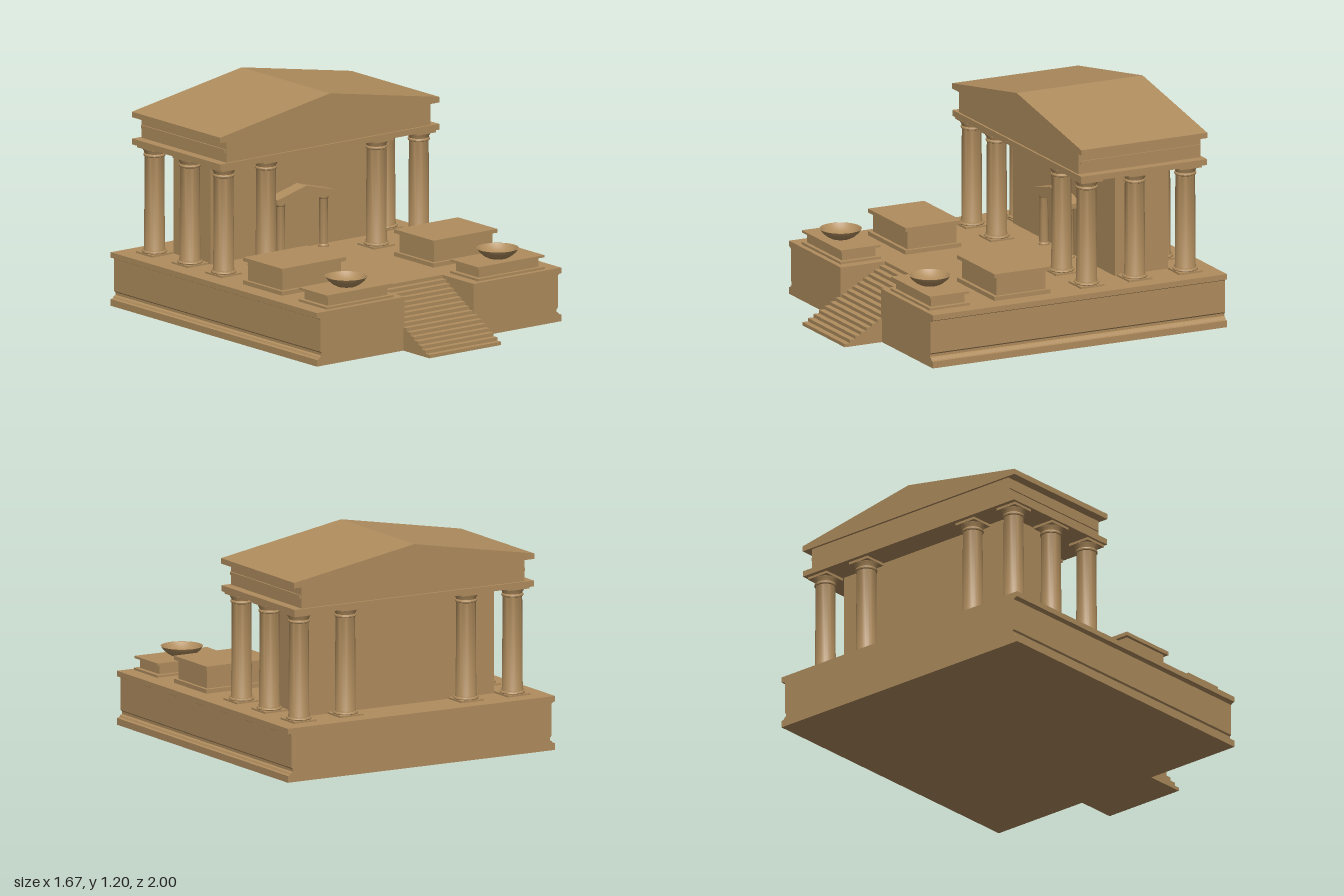
import * as THREE from 'three';
import { toCreasedNormals } from 'three/addons/utils/BufferGeometryUtils.js';

export function createModel() {
  const model = new THREE.Group();
  model.name = 'temple';
  const stone = new THREE.MeshStandardMaterial({ color: 0xb08d5e });

  const add = (name, geometry, parent = model) => {
    const mesh = new THREE.Mesh(geometry, stone);
    mesh.name = name;
    parent.add(mesh);
    return mesh;
  };

  // Box given by its limits on each axis
  const box = (name, x0, x1, y0, y1, z0, z1, parent) =>
    add(name, new THREE.BoxGeometry(x1 - x0, y1 - y0, z1 - z0)
      .translate((x0 + x1) / 2, (y0 + y1) / 2, (z0 + z1) / 2), parent);

  // Outline in x and y, extruded from z0 to z1
  const prism = (points, z0, z1) => {
    const shape = new THREE.Shape(points.map(([x, y]) => new THREE.Vector2(x, y)));
    return new THREE.ExtrudeGeometry(shape, { depth: z1 - z0, bevelEnabled: false })
      .translate(0, 0, z0);
  };

  const lathe = (points, segments) => toCreasedNormals(new THREE.LatheGeometry(
    points.map(([r, y]) => new THREE.Vector2(r, y)), segments), 0.6);

  const mirror = points => points.map(([x, y]) => [-x, y]);

  // Podium with moulded flanks and a notch for the stairs
  const deck = 0.295, notchZ = 0.475, frontZ = 0.775;
  const flank = [
    [0.835, 0], [0.835, 0.037], [0.82, 0.04], [0.814, 0.05], [0.803, 0.056],
    [0.803, 0.07], [0.811, 0.078], [0.811, 0.255], [0.822, 0.263], [0.835, 0.265], [0.835, deck],
  ];
  add('podium', prism([...flank, ...mirror(flank).reverse()], -1, notchZ));
  const wing = [[0.235, 0], ...flank, [0.235, deck]];
  add('leftPodiumWing', prism(wing, notchZ, frontZ));
  add('rightPodiumWing', prism(mirror(wing), notchZ, frontZ));

  // Stairs, drawn from the side and extruded across
  const steps = 16, rise = deck / steps, tread = (1 - notchZ) / steps;
  const profile = [[notchZ, 0], [1, 0]];
  for (let i = 0; i < steps; i++) {
    const z = 1 - i * tread;
    profile.push([z, (i + 1) * rise], [z - tread, (i + 1) * rise]);
  }
  add('stairs', prism(profile, -0.245, 0.245).rotateY(-Math.PI / 2));

  // Columns around the hall
  const shaft = lathe([
    [0, 0.303], [0.066, 0.303], [0.069, 0.309], [0.066, 0.316], [0.059, 0.318],
    [0.059, 0.324], [0.056, 0.33], [0.053, 0.832], [0.058, 0.835], [0.06, 0.841],
    [0.058, 0.847], [0.054, 0.85], [0.056, 0.858], [0.062, 0.868], [0.065, 0.878], [0, 0.878],
  ], 28);
  const addColumn = (x, z) => {
    const column = new THREE.Group();
    column.name = 'column';
    add('columnShaft', shaft, column);
    box('columnPlinth', -0.071, 0.071, deck, 0.305, -0.071, 0.071, column);
    box('columnAbacus', -0.066, 0.066, 0.876, 0.892, -0.066, 0.066, column);
    column.position.set(x, 0, z);
    model.add(column);
  };
  for (const side of [-1, 1]) {
    for (const z of [-0.24, -0.835]) {
      addColumn(side * 0.667, z);
      addColumn(side * 0.377, z);
    }
    addColumn(side * 0.667, -0.53);
  }

  // Inner hall
  box('innerHall', -0.59, 0.59, deck, 0.892, -0.77, -0.45);

  // Entablature and gabled roof
  box('architrave', -0.748, 0.748, 0.89, 0.922, -0.925, -0.165);
  box('frieze', -0.696, 0.696, 0.92, 1.042, -0.912, -0.177);
  box('friezeBand', -0.704, 0.704, 0.976, 0.994, -0.905, -0.184);
  add('roof', prism([[-0.75, 1.04], [0.75, 1.04], [0.75, 1.07], [0, 1.202], [-0.75, 1.07]], -0.925, -0.165));

  // Small porch in front of the hall
  const porch = new THREE.Group();
  porch.name = 'doorPorch';
  model.add(porch);
  const post = lathe([
    [0, deck], [0.03, deck], [0.03, 0.304], [0.025, 0.31], [0.023, 0.558],
    [0.028, 0.566], [0.028, 0.578], [0, 0.578],
  ], 20);
  for (const side of [-1, 1]) add('porchColumn', post, porch).position.set(side * 0.147, 0, -0.405);
  add('porchRoof', prism([[-0.197, 0.577], [0.197, 0.577], [0.197, 0.604], [0, 0.655], [-0.197, 0.604]], -0.45, -0.367), porch);

  // Altars and bowl pedestals on both sides of the stairs
  const bowl = lathe([
    [0, 0.37], [0.05, 0.37], [0.075, 0.383], [0.1, 0.404], [0.114, 0.425],
    [0.108, 0.425], [0.092, 0.406], [0.068, 0.389], [0.035, 0.38], [0, 0.377],
  ], 32);
  for (const side of [-1, 1]) {
    const altar = new THREE.Group();
    altar.name = 'altar';
    altar.position.x = side * 0.517;
    box('altarBase', -0.218, 0.218, deck, 0.318, 0.012, 0.35, altar);
    box('altarBody', -0.2, 0.2, 0.318, 0.424, 0.033, 0.33, altar);
    box('altarTop', -0.218, 0.218, 0.422, 0.443, 0.012, 0.35, altar);

    const pedestal = new THREE.Group();
    pedestal.name = 'bowlPedestal';
    pedestal.position.x = side * 0.517;
    box('pedestalBase', -0.228, 0.228, deck, 0.308, 0.503, 0.747, pedestal);
    box('pedestalBody', -0.203, 0.203, 0.308, 0.362, 0.525, 0.725, pedestal);
    box('pedestalTop', -0.226, 0.226, 0.36, 0.372, 0.505, 0.745, pedestal);
    add('bowl', bowl, pedestal).position.z = 0.628;
    model.add(altar, pedestal);
  }

  return model;
}
